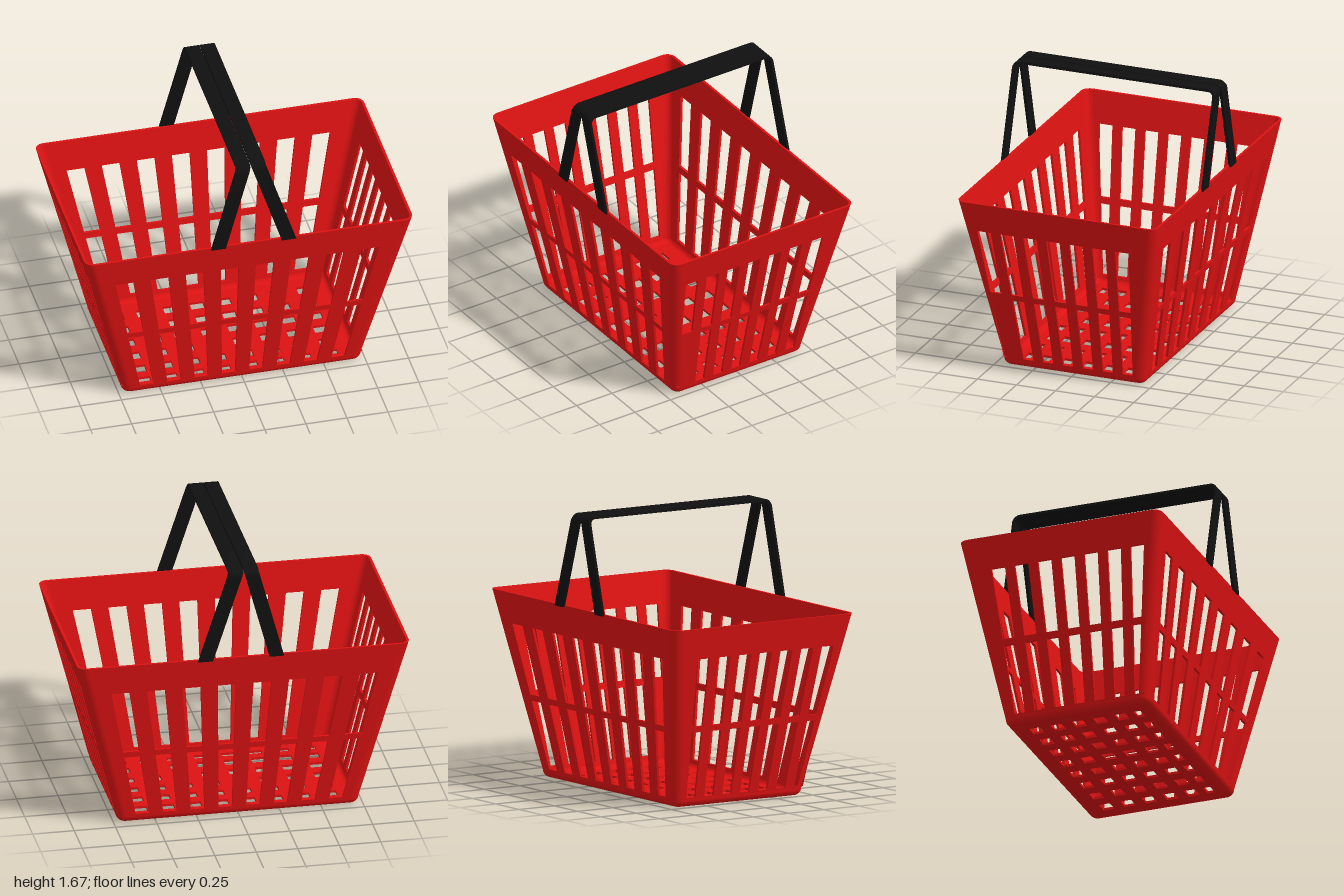
import * as THREE from 'three';
import { toCreasedNormals } from 'three/addons/utils/BufferGeometryUtils.js';

const H = 1.11;      // rim height
const T = 0.015;     // shell thickness
const R = 0.055;     // vertical corner radius
const F = 0.045;     // fillet between walls and floor
const halfX = (y) => 0.72 + 0.252 * y;
const halfZ = (y) => 0.45 + 0.17 * y;
const lerp = THREE.MathUtils.lerp;

const red = new THREE.MeshStandardMaterial({ color: 0xdd1212 });
const black = new THREE.MeshStandardMaterial({ color: 0x101010 });

function polygon(points, Type = THREE.Shape) {
  return new Type(points.map(([x, y]) => new THREE.Vector2(x, y)));
}

function addMesh(group, name, geometry, material) {
  const mesh = new THREE.Mesh(geometry, material);
  mesh.name = name;
  group.add(mesh);
  return mesh;
}

// Flat leaning wall with two rows of tapering slots, facing +z before it is turned
function wallGeometry(halfWidth, halfDepth, slots, flip) {
  const bottom = halfWidth(F) - R, top = halfWidth(H) - R;
  const shape = polygon([[-bottom, F], [bottom, F], [top, H], [-top, H]]);
  for (let i = 0; i < slots.count; i++) {
    const edge = (y, side) => {
      const k = (y - 0.057) / (0.92 - 0.057);
      const centre = lerp(slots.low[0] + slots.low[1] * i, slots.high[0] + slots.high[1] * i, k);
      return [flip * centre + side * lerp(slots.low[2], slots.high[2], k), y];
    };
    for (const [y0, y1] of [[0.057, 0.463], [0.5, 0.92]]) {
      shape.holes.push(polygon([edge(y0, -1), edge(y0, 1), edge(y1, 1), edge(y1, -1)], THREE.Path));
    }
  }
  const geo = new THREE.ExtrudeGeometry(shape, { depth: T, bevelEnabled: false });
  const p = geo.attributes.position;
  for (let i = 0; i < p.count; i++) p.setZ(i, p.getZ(i) - T + halfDepth(p.getY(i)));
  geo.computeVertexNormals();
  return geo;
}

// Sweeps a closed (inset, height) profile through stations on the rounded rectangle
function sweep(profile, stations) {
  const pos = [], index = [], n = profile.length;
  for (const { sx, sz, angle } of stations) {
    for (const [d, y] of profile) {
      const h = Math.max(y, F);
      pos.push(sx * (halfX(h) - R) + (R - d) * Math.cos(angle), y,
        sz * (halfZ(h) - R) + (R - d) * Math.sin(angle));
    }
  }
  for (let i = 0; i < stations.length - 1; i++) {
    for (let j = 0; j < n; j++) {
      const a = i * n + j, c = i * n + (j + 1) % n;
      index.push(a, a + n, c, a + n, c + n, c);
    }
  }
  const geo = new THREE.BufferGeometry();
  geo.setAttribute('position', new THREE.Float32BufferAttribute(pos, 3));
  geo.setIndex(index);
  return toCreasedNormals(geo, 0.6);
}

function buildBasket() {
  const basket = new THREE.Group();
  basket.name = 'basket';

  // Walls; slots are [first centre, pitch, half width] at the low and high ends
  const longSlots = { count: 8, low: [-0.585, 0.1665, 0.041], high: [-0.757, 0.214, 0.055] };
  const endSlots = { count: 7, low: [0.41, -0.127, 0.032], high: [0.478, -0.147, 0.043] };
  addMesh(basket, 'frontWall', wallGeometry(halfX, halfZ, longSlots, 1), red);
  addMesh(basket, 'backWall', wallGeometry(halfX, halfZ, longSlots, -1).rotateY(Math.PI), red);
  addMesh(basket, 'leftWall', wallGeometry(halfZ, halfX, endSlots, -1).rotateY(Math.PI / 2), red);
  addMesh(basket, 'rightWall', wallGeometry(halfZ, halfX, endSlots, 1).rotateY(-Math.PI / 2), red);

  // Rounded corner posts and the curved edges along the floor
  const arc = (radius) => Array.from({ length: 7 }, (_, i) => {
    const a = (i / 6) * Math.PI / 2;
    return [F - radius * Math.cos(a), F - radius * Math.sin(a)];
  });
  const fillet = [...arc(F), ...arc(F - T).reverse()];
  const post = [[0, H], ...fillet, [T, H]];
  const signs = [[1, 1], [-1, 1], [-1, -1], [1, -1]];
  signs.forEach(([sx, sz], q) => {
    const start = q * Math.PI / 2, end = start + Math.PI / 2;
    const stations = Array.from({ length: 9 }, (_, i) => ({ sx, sz, angle: lerp(start, end, i / 8) }));
    addMesh(basket, 'cornerPost', sweep(post, stations), red);
    const [nx, nz] = signs[(q + 1) % 4];
    addMesh(basket, 'floorEdge',
      sweep(fillet, [{ sx, sz, angle: end }, { sx: nx, sz: nz, angle: end }]), red);
  });

  // Floor grid
  const fx = halfX(F) - F, fz = halfZ(F) - F;
  const floor = polygon([[-fx, -fz], [fx, -fz], [fx, fz], [-fx, fz]]);
  for (let i = 0; i < 8; i++) {
    for (let j = 0; j < 6; j++) {
      const x = -0.578 + 0.163 * i, z = j < 5 ? -0.302 + 0.135 * j : 0.347;
      const w = 0.041, d = j < 5 ? 0.034 : 0.022;
      floor.holes.push(polygon([[x - w, -z - d], [x + w, -z - d], [x + w, -z + d], [x - w, -z + d]], THREE.Path));
    }
  }
  const floorGeo = new THREE.ExtrudeGeometry(floor, { depth: T, bevelEnabled: false });
  addMesh(basket, 'floor', floorGeo.rotateX(-Math.PI / 2), red);
  return basket;
}

// Bent strap: a U with rounded upper corners whose legs spread sideways by `spread`
function strapGeometry(x0, x1, spread) {
  const low = 1.1, high = 1.675, w = 0.648, r = 0.045, t = 0.015;
  const s = new THREE.Shape();
  s.moveTo(-w, low);
  s.lineTo(-w + t, low);
  s.lineTo(-w + t, high - r);
  s.absarc(-w + r, high - r, r - t, Math.PI, Math.PI / 2, true);
  s.lineTo(w - r, high - t);
  s.absarc(w - r, high - r, r - t, Math.PI / 2, 0, true);
  s.lineTo(w - t, low);
  s.lineTo(w, low);
  s.lineTo(w, high - r);
  s.absarc(w - r, high - r, r, 0, Math.PI / 2, false);
  s.lineTo(-w + r, high);
  s.absarc(-w + r, high - r, r, Math.PI / 2, Math.PI, false);
  s.closePath();
  const geo = new THREE.ExtrudeGeometry(s, { depth: x1 - x0, bevelEnabled: false, curveSegments: 8 });
  geo.rotateY(Math.PI / 2);
  const p = geo.attributes.position;
  for (let i = 0; i < p.count; i++) {
    const k = Math.max(0, (high - t - p.getY(i)) / (high - t - low));
    p.setX(i, p.getX(i) + x0 + spread * k);
  }
  return toCreasedNormals(geo, 0.6);
}

export function createModel() {
  const model = new THREE.Group();
  model.name = 'shoppingBasket';
  model.add(buildBasket());
  const handles = new THREE.Group();
  handles.name = 'handles';
  addMesh(handles, 'rightHandle', strapGeometry(-0.085, 0.002, -0.152), black);
  addMesh(handles, 'leftHandle', strapGeometry(0.008, 0.096, 0.184), black);
  model.add(handles);
  return model;
}
